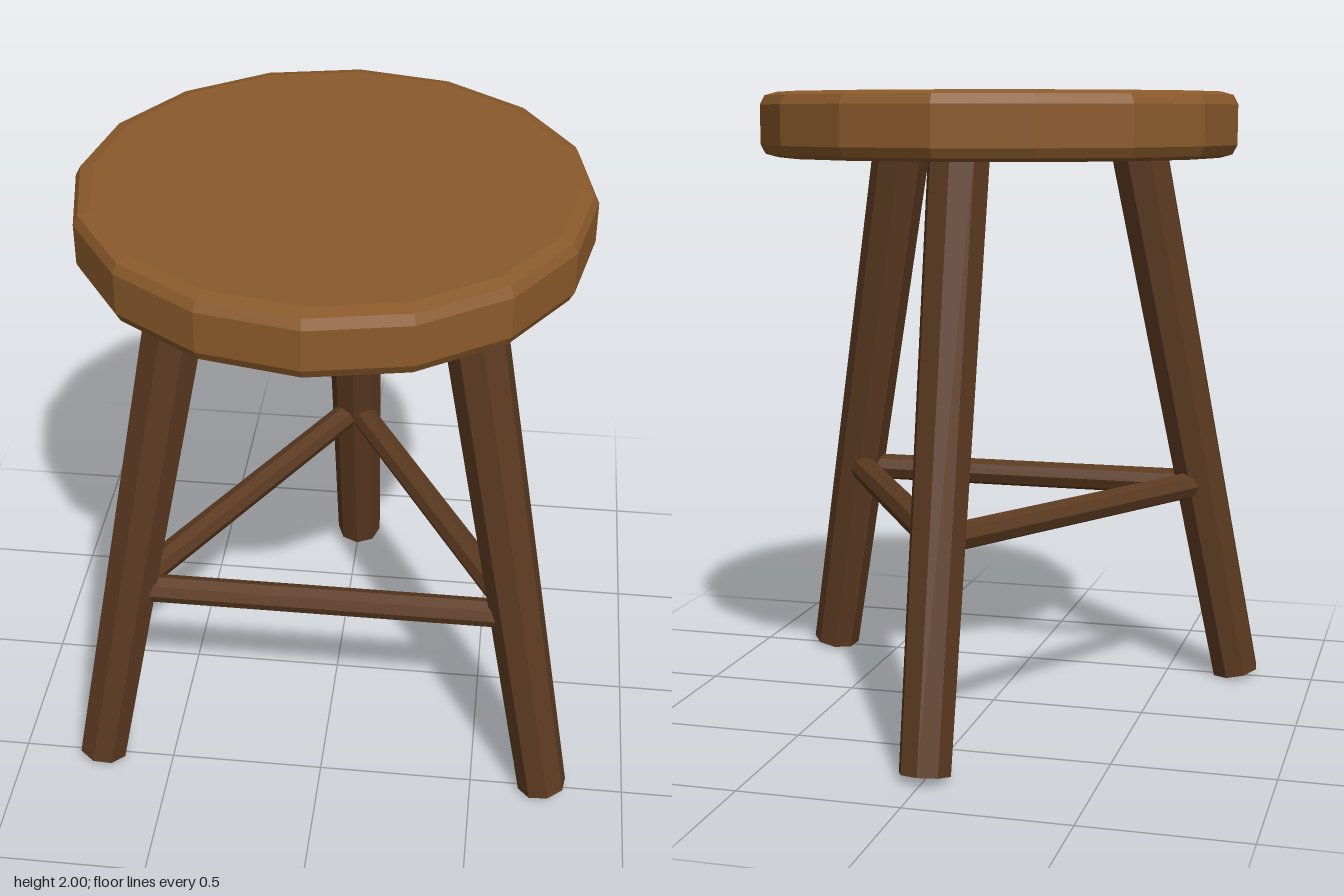
import * as THREE from 'three';

const CENTER_Z = 0.08;   // axis of the seat and the leg ring
const FOOT_R = 0.85, FOOT_Y = 0.017;
const TOP_R = 0.46, TOP_Y = 1.88;

const material = color => new THREE.MeshStandardMaterial({ color, flatShading: true });

// Point on a leg's axis at height y, for a leg standing at the given angle
function legPoint(angle, y) {
  const r = THREE.MathUtils.mapLinear(y, FOOT_Y, TOP_Y, FOOT_R, TOP_R);
  return new THREE.Vector3(Math.sin(angle) * r, y, Math.cos(angle) * r);
}

export function createModel() {
  const stool = new THREE.Group();
  stool.name = 'stool';
  stool.position.z = CENTER_Z;
  const seatWood = material(0x8b5a2b);
  const legWood = material(0x5c3a21);

  // Round seat with softened rims
  const profile = [
    [0, 1.795], [0.71, 1.795], [0.75, 1.806], [0.765, 1.835],
    [0.765, 1.96], [0.75, 1.989], [0.71, 2], [0, 2],
  ].map(([r, y]) => new THREE.Vector2(r, y));
  const seat = new THREE.Mesh(new THREE.LatheGeometry(profile, 16), seatWood);
  seat.name = 'seat';
  stool.add(seat);

  // Three splayed, tapered legs
  const angles = [Math.PI / 3, Math.PI, -Math.PI / 3];
  const names = ['leftLeg', 'backLeg', 'rightLeg'];
  const legLength = Math.hypot(FOOT_R - TOP_R, TOP_Y - FOOT_Y);
  const legGeometry = new THREE.CylinderGeometry(0.097, 0.08, legLength, 8);
  const tilt = -Math.atan2(FOOT_R - TOP_R, TOP_Y - FOOT_Y);
  angles.forEach((angle, i) => {
    const leg = new THREE.Mesh(legGeometry, legWood);
    leg.name = names[i];
    leg.rotation.set(tilt, angle, 0, 'YXZ');
    leg.position.copy(legPoint(angle, (FOOT_Y + TOP_Y) / 2));
    stool.add(leg);
  });

  // Stretchers joining neighbouring legs
  const stretcherNames = ['leftStretcher', 'rightStretcher', 'frontStretcher'];
  angles.forEach((angle, i) => {
    const a = legPoint(angle, 0.687);
    const b = legPoint(angles[(i + 1) % 3], 0.687);
    const geometry = new THREE.CylinderGeometry(0.045, 0.045, a.distanceTo(b), 8);
    geometry.rotateX(Math.PI / 2);
    const stretcher = new THREE.Mesh(geometry, legWood);
    stretcher.name = stretcherNames[i];
    stretcher.position.copy(a).lerp(b, 0.5);
    stretcher.rotation.y = Math.atan2(b.x - a.x, b.z - a.z);
    stool.add(stretcher);
  });

  const model = new THREE.Group();
  model.add(stool);
  return model;
}
